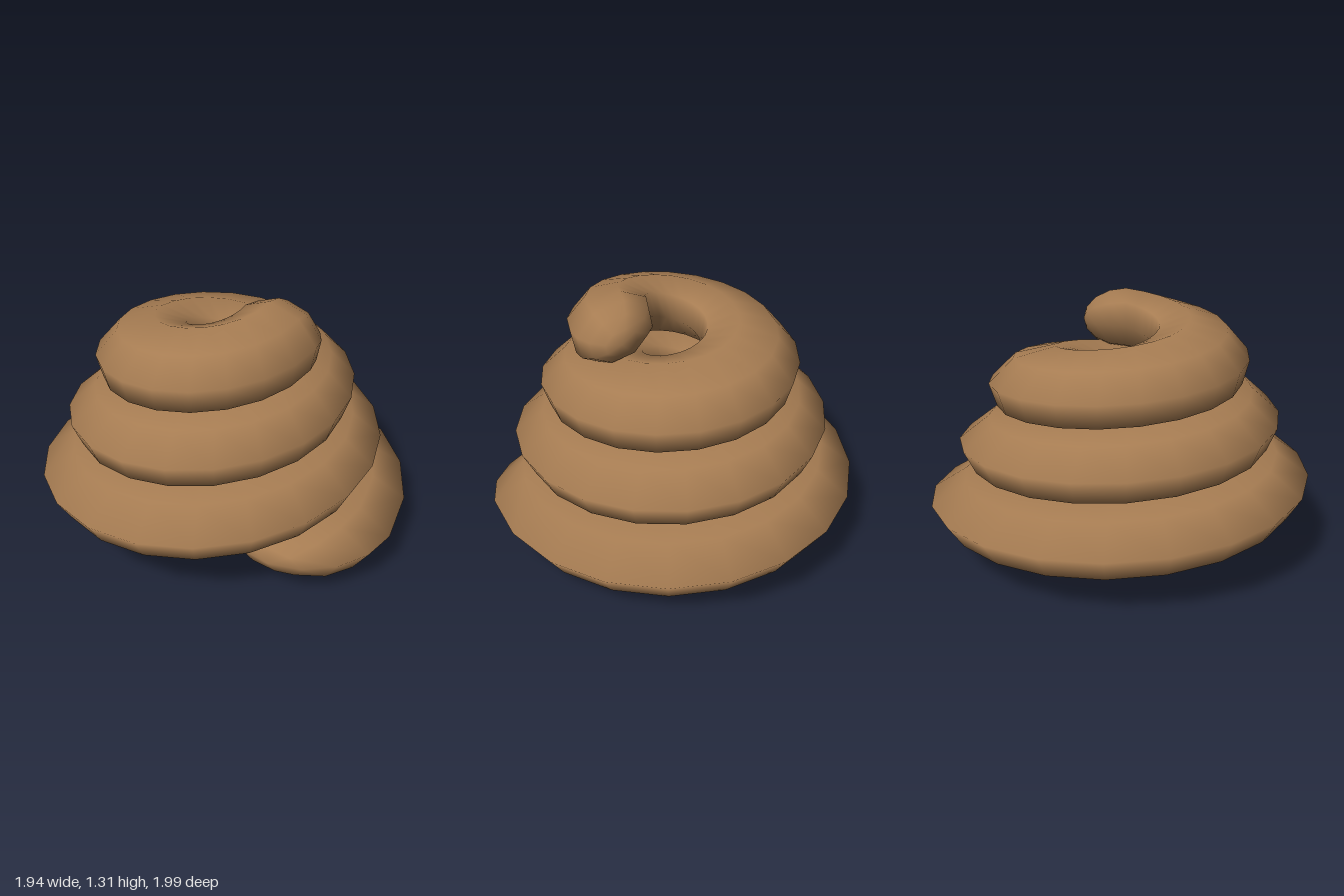
import * as THREE from 'three';

const TURNS = 3, STEPS = 62, SIDES = 8, CAP_RINGS = 4;
const CENTER_X = -0.04, CENTER_Z = 0.04, STRETCH_Z = 1.07;
const HOLE = 0.13;

// Centre, size and slant of the coil's cross-section after t turns
function section(t) {
  const f = t / TURNS;
  const phase = THREE.MathUtils.degToRad(8 + 6 * f);
  const outer = 1.01 - 0.155 * t;
  const a = (outer - HOLE) / 2 / Math.cos(phase);
  const b = 0.17;
  const slant = 0.22 * f;
  const y = 0.19 + 0.313 * t - b * Math.sin(phase) + slant * a * Math.cos(phase);
  return { phase, a, b, slant, y, r: (outer + HOLE) / 2, angle: t * Math.PI * 2 };
}

// One continuous tapering coil, closed by a rounded cap at both ends
function coilGeometry() {
  const positions = [], index = [], rings = [];

  // scale shrinks the section, push moves it along the coil's direction
  function addRing(t, scale = 1, push = 0) {
    const s = section(t);
    const cos = Math.cos(s.angle), sin = Math.sin(s.angle);
    const count = scale === 0 ? 1 : SIDES;
    const first = positions.length / 3;
    for (let j = 0; j < count; j++) {
      const v = s.phase + (j / SIDES) * Math.PI * 2;
      const p = s.a * scale * Math.cos(v);
      const q = s.b * scale * Math.sin(v) - s.slant * p;
      const x = (s.r + p) * cos - push * s.a * sin;
      const z = -(s.r + p) * sin - push * s.a * cos;
      positions.push(CENTER_X + x, s.y + q, CENTER_Z + z * STRETCH_Z);
    }
    rings.push(Array.from({ length: SIDES }, (_, j) => first + (j % count)));
  }

  for (let k = CAP_RINGS; k > 0; k--) {
    const u = (k / CAP_RINGS) * Math.PI / 2;
    addRing(0, k === CAP_RINGS ? 0 : Math.cos(u), -Math.sin(u));
  }
  for (let i = 0; i <= STEPS; i++) addRing((i / STEPS) * TURNS);
  for (let k = 1; k <= CAP_RINGS; k++) {
    const u = (k / CAP_RINGS) * Math.PI / 2;
    addRing(TURNS, k === CAP_RINGS ? 0 : Math.cos(u), Math.sin(u));
  }

  // Skin neighbouring rings, leaving out collapsed triangles at the poles
  const face = (a, b, c) => {
    if (a !== b && b !== c && a !== c) index.push(a, b, c);
  };
  for (let i = 0; i < rings.length - 1; i++) {
    for (let j = 0; j < SIDES; j++) {
      const n = (j + 1) % SIDES;
      face(rings[i][j], rings[i + 1][j], rings[i][n]);
      face(rings[i + 1][j], rings[i + 1][n], rings[i][n]);
    }
  }

  const geometry = new THREE.BufferGeometry();
  geometry.setAttribute('position', new THREE.Float32BufferAttribute(positions, 3));
  geometry.setIndex(index);
  geometry.computeVertexNormals();
  return geometry;
}

export function createModel() {
  const group = new THREE.Group();
  group.name = 'coiledPile';
  const coil = new THREE.Mesh(
    coilGeometry(),
    new THREE.MeshStandardMaterial({ color: 0xa67c52 })
  );
  coil.name = 'coil';
  group.add(coil);
  return group;
}
